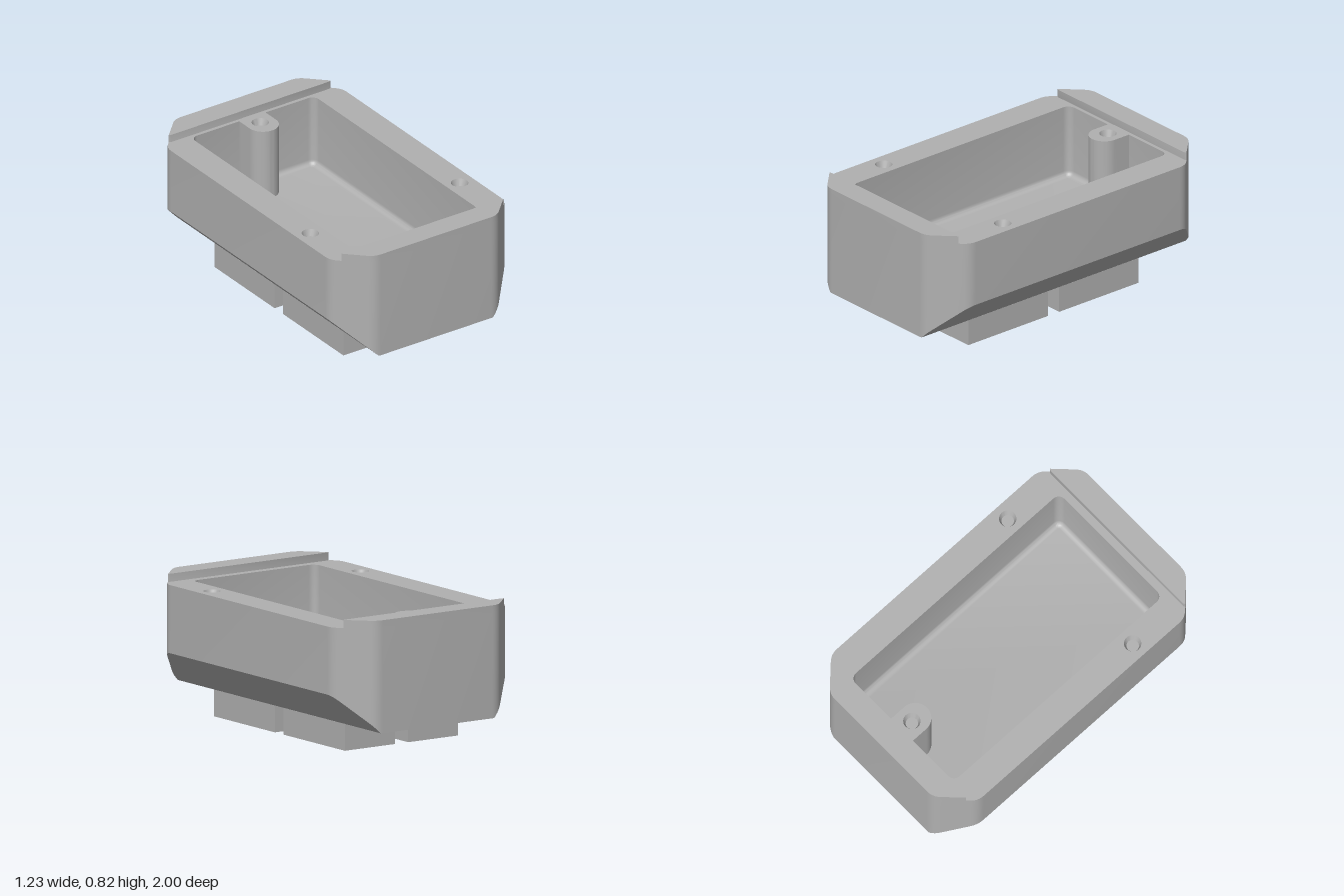
import * as THREE from 'three';
import { mergeGeometries, toCreasedNormals } from 'three/addons/utils/BufferGeometryUtils.js';

const BASE = 0.157, RIM = 0.77, LIP = 0.817, FLOOR = 0.33;
const v2 = (x, y) => new THREE.Vector2(x, y);

// Quads between successive closed rings of Vector3 points
function loft(rings) {
  const pos = [];
  for (let r = 0; r < rings.length - 1; r++) {
    const a = rings[r], b = rings[r + 1], n = a.length;
    for (let i = 0; i < n; i++) {
      const j = (i + 1) % n;
      for (const p of [a[i], a[j], b[j], a[i], b[j], b[i]]) pos.push(p.x, p.y, p.z);
    }
  }
  return fromPositions(pos);
}

function fromPositions(pos) {
  const g = new THREE.BufferGeometry();
  g.setAttribute('position', new THREE.Float32BufferAttribute(pos, 3));
  return g;
}

// Horizontal face, facing up, from a shape drawn as (x, -z)
function flat(shape, y) {
  const g = new THREE.ShapeGeometry(shape, 10).rotateX(-Math.PI / 2).translate(0, y, 0).toNonIndexed();
  g.deleteAttribute('uv');
  g.deleteAttribute('normal');
  return g;
}

// Upright prism from a shape drawn as (x, -z)
function prism(shape, y0, y1) {
  const g = new THREE.ExtrudeGeometry(shape, { depth: y1 - y0, bevelEnabled: false, curveSegments: 16 });
  return toCreasedNormals(g.rotateX(-Math.PI / 2).translate(0, y0, 0), 0.5);
}

const ringAt = (pts, y) => pts.map((p) => new THREE.Vector3(p.x, typeof y === 'function' ? y(p.x) : y, -p.y));

// One quarter of the outline, from the end to the side, with softened chamfer corners
function quarter() {
  const t = 0.045, d = t * Math.SQRT1_2;
  const arc = (a, b, c) => new THREE.QuadraticBezierCurve(a, b, c).getPoints(6);
  return [
    ...arc(v2(0.43 - t, 1), v2(0.43, 1), v2(0.43 + d, 1 - d)),
    ...arc(v2(0.615 - d, 0.815 + d), v2(0.615, 0.815), v2(0.615, 0.815 - t)),
  ];
}

// Rounded rectangle of the cavity, shrunk by an inset
function cavityPoints(inset) {
  const r = 0.045 - inset, x = 0.433 - inset, pts = [];
  const top = 0.835 - inset, bottom = -0.81 + inset;
  [[x - r, top - r], [-x + r, top - r], [-x + r, bottom + r], [x - r, bottom + r]].forEach(([cx, cy], k) => {
    for (let i = 0; i <= 6; i++) {
      const a = (k + i / 6) * Math.PI / 2;
      pts.push(v2(cx + r * Math.cos(a), cy + r * Math.sin(a)));
    }
  });
  return pts;
}

function circlePoints(x, z, r) {
  return Array.from({ length: 32 }, (_, i) => {
    const a = i / 32 * Math.PI * 2;
    return v2(x + r * Math.cos(a), -z + r * Math.sin(a));
  });
}

export function createModel() {
  const group = new THREE.Group();
  const grey = new THREE.MeshStandardMaterial({ color: 0xb0b0b0 });
  grey.name = 'grey plastic';
  const add = (name, geometry) => {
    const mesh = new THREE.Mesh(geometry, grey);
    mesh.name = name;
    group.add(mesh);
  };

  const q = quarter();
  const back = [...q].reverse();
  const outline = [
    ...back, ...q.map((p) => v2(-p.x, p.y)),
    ...back.map((p) => v2(-p.x, -p.y)), ...q.map((p) => v2(p.x, -p.y)),
  ];
  const underside = (x) => BASE + Math.max(0, Math.abs(x) - 0.4);
  const screws = [[-0.523, 0.49], [0.523, 0.49]];

  // Outer walls, with the lower edge following the sloped underside
  add('outerWall', toCreasedNormals(loft([ringAt(outline, underside), ringAt(outline, RIM)]), 0.5));

  // Underside: flat middle and two 45 degree slopes, built in strips across x
  const half = [...back.map((p) => v2(-p.x, p.y)), ...q];
  const strips = [];
  for (let i = 0; i < half.length - 1; i++) {
    const a = half[i], b = half[i + 1];
    if (b.x - a.x < 1e-6) continue;
    const ya = underside(a.x), yb = underside(b.x);
    strips.push(a.x, ya, -a.y, b.x, yb, -b.y, b.x, yb, b.y, a.x, ya, -a.y, b.x, yb, b.y, a.x, ya, a.y);
  }
  add('underside', toCreasedNormals(fromPositions(strips), 0.3));

  // Rim with openings for the cavity and the screw holes
  const rim = new THREE.Shape(outline);
  rim.holes.push(new THREE.Path(cavityPoints(0)));
  for (const [x, z] of screws) rim.holes.push(new THREE.Path(circlePoints(x, z, 0.05)));
  add('rim', toCreasedNormals(flat(rim, RIM), 0.5));

  // Cavity walls rounding into the floor
  const rings = [ringAt(cavityPoints(0), RIM)];
  const f = 0.035;
  for (let i = 0; i <= 6; i++) {
    const a = i / 6 * Math.PI / 2;
    rings.push(ringAt(cavityPoints(f * (1 - Math.cos(a))), FLOOR + f * (1 - Math.sin(a))));
  }
  add('cavity', toCreasedNormals(mergeGeometries([
    loft(rings), flat(new THREE.Shape(cavityPoints(f)), FLOOR),
  ]), 0.5));

  // Screw post against the back wall
  const w = 0.092, bossZ = -0.757;
  const boss = new THREE.Shape();
  boss.moveTo(w, 0.835);
  boss.lineTo(-w, 0.835);
  boss.lineTo(-w, 0.73);
  boss.absarc(0, 0.73, w, Math.PI, Math.PI * 2, false);
  boss.lineTo(w, 0.835);
  boss.holes.push(new THREE.Path(circlePoints(0, bossZ, 0.05)));
  add('screwPost', prism(boss, FLOOR, RIM));

  // Tapered screw holes
  for (const [x, z] of [...screws, [0, bossZ]]) {
    const inner = circlePoints(x, z, 0.036);
    add('screwHole', toCreasedNormals(mergeGeometries([
      loft([ringAt(circlePoints(x, z, 0.05), RIM), ringAt(inner, RIM - 0.04)]),
      flat(new THREE.Shape(inner), RIM - 0.04),
    ]), 0.5));
  }

  // Raised lips on the front and back ends
  const edge = [...q.filter((p) => p.y > 0.88), v2(0.558, 0.872), v2(0.567, 0.863), v2(0.555, 0.857)];
  const lip = [...edge, ...[...edge].reverse().map((p) => v2(-p.x, p.y))];
  add('backLip', prism(new THREE.Shape(lip), RIM, LIP));
  add('frontLip', prism(new THREE.Shape(lip.map((p) => v2(p.x, -p.y))), RIM, LIP));

  // Four feet
  for (const sx of [-1, 1]) for (const sz of [-1, 1]) {
    add('foot', new THREE.BoxGeometry(0.353, BASE, 0.602).translate(sx * 0.2235, BASE / 2, sz * 0.344));
  }
  return group;
}
